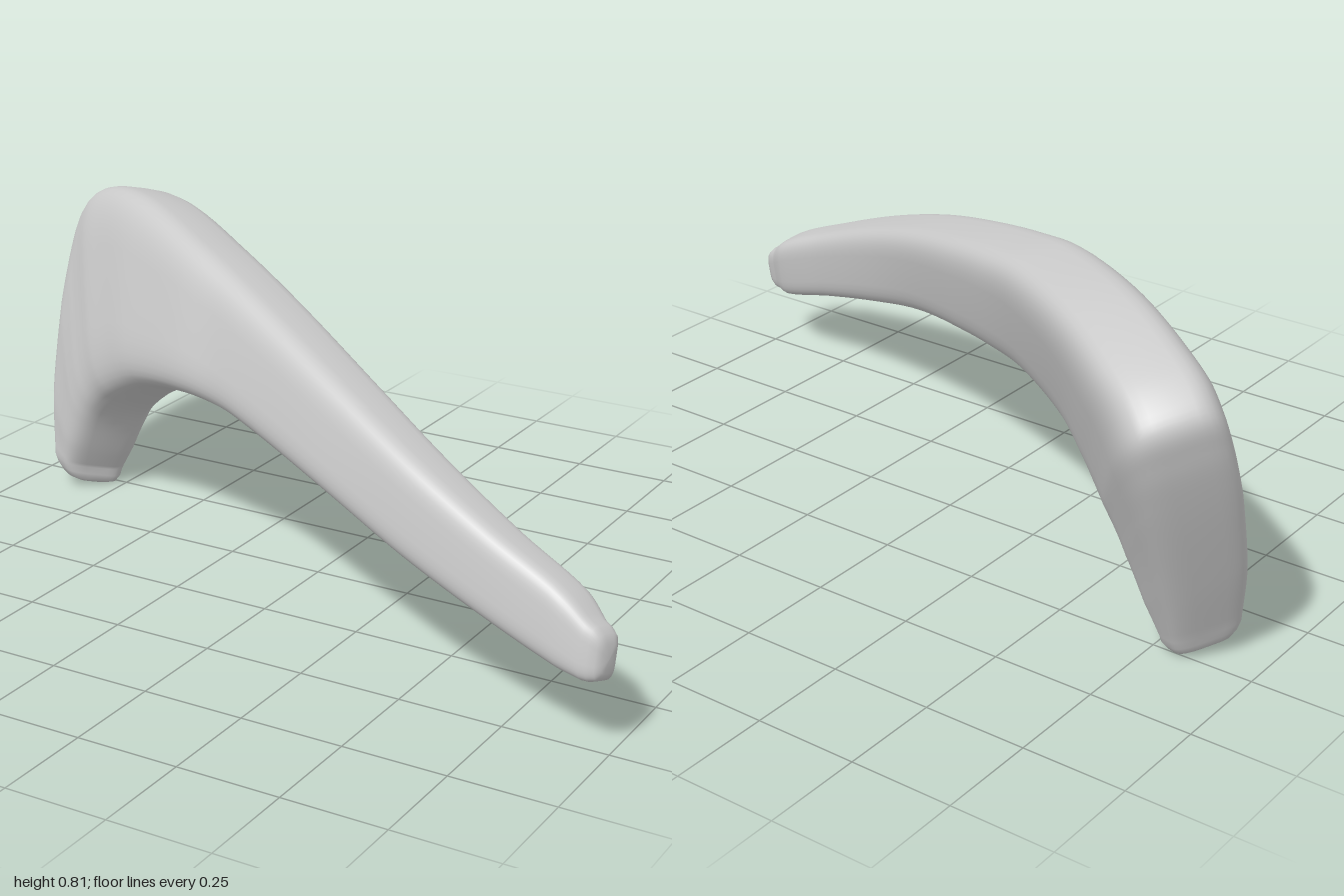
import * as THREE from 'three';

// Stations from the thin tip to the foot of the short arm:
// outer edge xyz, inner edge xyz, half thickness, yaw of the thickness direction
const STATIONS = [
  [0.96, 0.295, 0.502, 0.955, 0.165, 0.522, 0.045, 0.28],
  [0.90, 0.34, 0.48, 0.90, 0.172, 0.505, 0.06, 0.3],
  [0.72, 0.42, 0.44, 0.72, 0.225, 0.468, 0.068, 0.36],
  [0.50, 0.513, 0.367, 0.50, 0.29, 0.405, 0.08, 0.42],
  [0.25, 0.608, 0.25, 0.25, 0.362, 0.308, 0.09, 0.49],
  [0.00, 0.688, 0.112, 0.00, 0.41, 0.187, 0.099, 0.55],
  [-0.16, 0.732, 0.02, -0.12, 0.426, 0.13, 0.104, 0.58],
  [-0.32, 0.768, -0.075, -0.26, 0.426, 0.075, 0.11, 0.6],
  [-0.60, 0.795, -0.275, -0.46, 0.385, -0.02, 0.117, 0.62],
  [-0.79, 0.772, -0.41, -0.55, 0.34, -0.07, 0.122, 0.65],
  [-0.88, 0.735, -0.465, -0.605, 0.305, -0.1, 0.125, 0.68],
  [-0.932, 0.68, -0.493, -0.65, 0.272, -0.125, 0.125, 0.7],
  [-0.944, 0.60, -0.468, -0.69, 0.235, -0.143, 0.122, 0.7],
  [-0.943, 0.48, -0.415, -0.722, 0.19, -0.157, 0.117, 0.7],
  [-0.918, 0.24, -0.305, -0.77, 0.1, -0.175, 0.102, 0.7],
  [-0.885, 0.06, -0.23, -0.80, 0.045, -0.187, 0.084, 0.68],
];
const SIDES = 40, STEPS = 90, ROUND = 0.52, TILT = 0.24;

// One rounded-rectangle ring, optionally shrunk and shifted for the end caps
function ring(out, inn, half, yaw, scale = 1, shift = new THREE.Vector3()) {
  const centre = out.clone().add(inn).multiplyScalar(0.5).add(shift);
  const u = out.clone().sub(inn).multiplyScalar(0.5 * scale);
  const v = new THREE.Vector3(-Math.sin(yaw), TILT, Math.cos(yaw)).setLength(half * scale);
  const soft = (a) => Math.sign(a) * Math.pow(Math.abs(a), ROUND);
  return Array.from({ length: SIDES }, (_, j) => {
    const a = (j / SIDES) * Math.PI * 2;
    return centre.clone().addScaledVector(u, soft(Math.cos(a))).addScaledVector(v, soft(Math.sin(a)));
  });
}

// Skin a list of rings into one smooth surface
function skin(rings) {
  const pos = [], index = [];
  rings.forEach((r) => r.forEach((p) => pos.push(p.x, p.y, p.z)));
  for (let i = 0; i < rings.length - 1; i++) {
    for (let j = 0; j < SIDES; j++) {
      const k = (j + 1) % SIDES;
      const a = i * SIDES + j, b = i * SIDES + k, c = a + SIDES, d = b + SIDES;
      index.push(a, c, b, b, c, d);
    }
  }
  const geo = new THREE.BufferGeometry();
  geo.setAttribute('position', new THREE.Float32BufferAttribute(pos, 3));
  geo.setIndex(index);
  geo.computeVertexNormals();
  return geo;
}

export function createModel() {
  const curve = (f) => new THREE.CatmullRomCurve3(STATIONS.map(f), false, 'centripetal');
  const outer = curve((s) => new THREE.Vector3(s[0], s[1], s[2]));
  const inner = curve((s) => new THREE.Vector3(s[3], s[4], s[5]));
  const at = (t, col) => {
    const f = t * (STATIONS.length - 1), i = Math.min(Math.floor(f), STATIONS.length - 2);
    return THREE.MathUtils.lerp(STATIONS[i][col], STATIONS[i + 1][col], f - i);
  };
  const section = (t, scale, shift) =>
    ring(outer.getPoint(t), inner.getPoint(t), at(t, 6), at(t, 7), scale, shift);

  // Rounded caps: scale and reach of each cap ring
  const cap = [[0.93, 0.4], [0.78, 0.78], [0.5, 0.97], [0.001, 1]];
  const tipDir = new THREE.Vector3(0.04, -0.01, 0.004);
  const footDir = new THREE.Vector3(0.004, -0.05, 0.004);
  const rings = [];
  [...cap].reverse().forEach(([s, d]) => rings.push(section(0, s, tipDir.clone().multiplyScalar(d))));
  for (let i = 0; i <= STEPS; i++) rings.push(section(i / STEPS));
  cap.forEach(([s, d]) => rings.push(section(1, s, footDir.clone().multiplyScalar(d))));

  const body = new THREE.Mesh(skin(rings), new THREE.MeshStandardMaterial({ color: 0xcccccc }));
  body.name = 'curvedBody';
  const group = new THREE.Group();
  group.name = 'bentHandle';
  group.add(body);
  return group;
}
